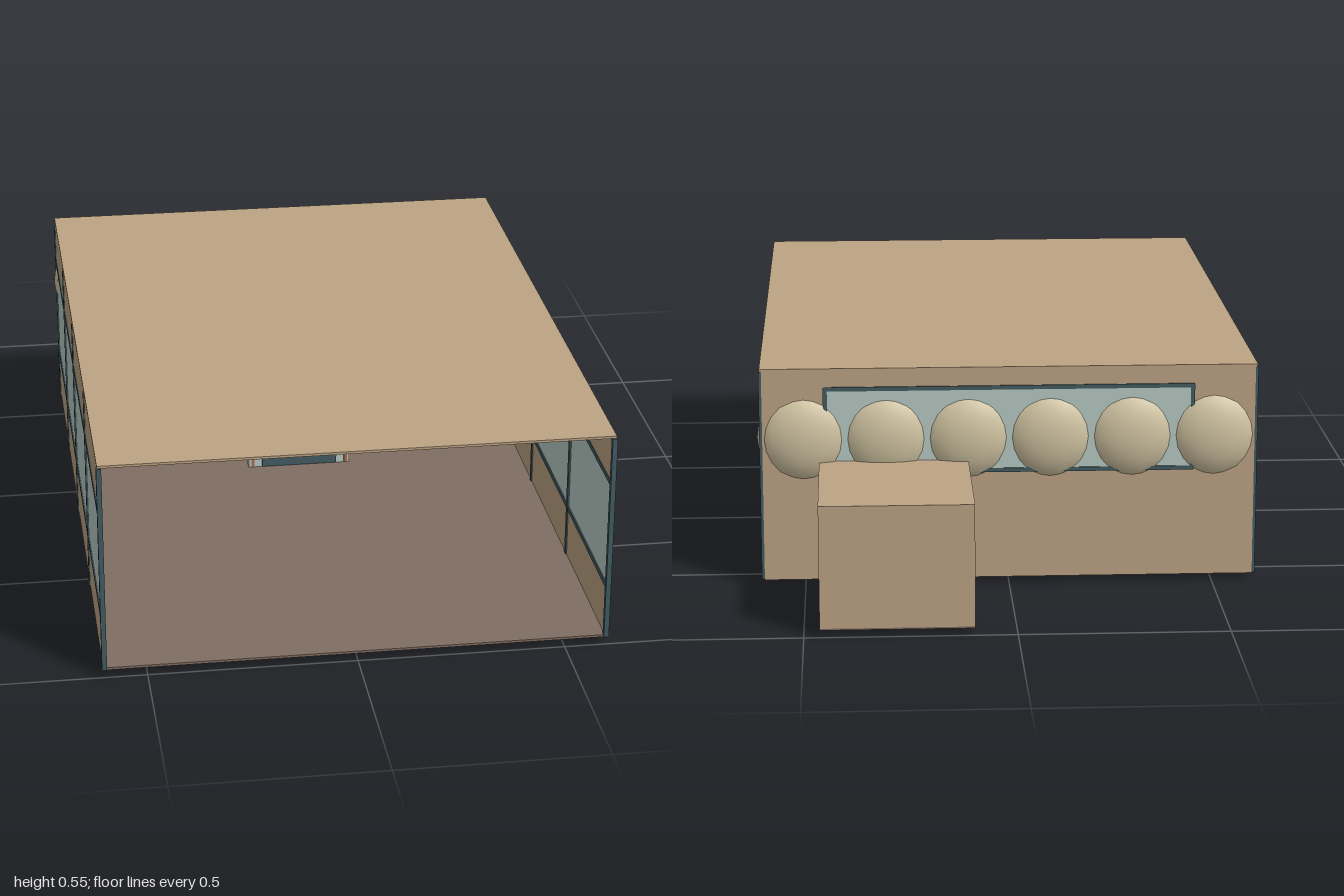
import * as THREE from 'three';

const material = (name, color) => {
  const m = new THREE.MeshStandardMaterial({ color });
  m.name = name;
  return m;
};

export function createModel() {
  const tan = material('tan panel', 0xbda384);
  const brown = material('brown floor', 0x806d62);
  const teal = material('dark teal metal', 0x425c62);
  const glass = material('pale glass', 0xb8cac4);
  const cream = material('cream', 0xd2c5a3);
  const taupe = material('taupe', 0x8a7f69);
  const rust = material('rust', 0xb5694a);

  const model = new THREE.Group();
  const group = (name) => {
    const g = new THREE.Group();
    g.name = name;
    model.add(g);
    return g;
  };
  const add = (parent, name, geometry, mat) => {
    const mesh = new THREE.Mesh(geometry, mat);
    mesh.name = name;
    parent.add(mesh);
    return mesh;
  };
  // Box given by its low and high limits on each axis
  const box = (parent, name, mat, x0, x1, y0, y1, z0, z1) => {
    const mesh = add(parent, name, new THREE.BoxGeometry(x1 - x0, y1 - y0, z1 - z0), mat);
    mesh.position.set((x0 + x1) / 2, (y0 + y1) / 2, (z0 + z1) / 2);
    return mesh;
  };
  // Bent rod with a closed disc at its start and end
  const rod = (parent, name, points, radius, mat, capMat) => {
    const curve = new THREE.CatmullRomCurve3(points.map((p) => new THREE.Vector3(...p)));
    add(parent, name, new THREE.TubeGeometry(curve, 18, radius, 8), mat);
    for (const t of [0, 1]) {
      const cap = add(parent, name + 'End', new THREE.CircleGeometry(radius, 8), capMat);
      const dir = curve.getTangent(t).multiplyScalar(t ? 1 : -1);
      cap.position.copy(curve.getPoint(t));
      cap.quaternion.setFromUnitVectors(new THREE.Vector3(0, 0, 1), dir);
    }
  };

  // Room shell, open at the front
  const shell = group('roomShell');
  box(shell, 'floor', brown, -0.6, 0.6, 0.02, 0.026, -0.6, 0.995);
  box(shell, 'roof', tan, -0.605, 0.605, 0.545, 0.551, -0.603, 0.997);
  box(shell, 'backWall', tan, -0.6, 0.6, 0.02, 0.545, -0.603, -0.597);
  box(shell, 'floorBeam', teal, -0.605, 0.605, 0.003, 0.02, 0.134, 0.146);

  // Side walls: panels, window band, rails and posts
  for (const s of [-1, 1]) {
    const side = group(s > 0 ? 'leftWall' : 'rightWall');
    const strip = (name, mat, half, y0, y1, z0, z1) =>
      box(side, name, mat, s * 0.601 - half, s * 0.601 + half, y0, y1, z0, z1);
    strip('lowerPanel', tan, 0.003, 0.022, 0.155, -0.6, 0.995);
    strip('window', glass, 0.002, 0.155, 0.425, -0.6, 0.995);
    strip('upperPanel', tan, 0.003, 0.425, 0.545, -0.6, 0.995);
    for (const y of [0.155, 0.425]) strip('rail', teal, 0.005, y - 0.006, y + 0.006, -0.6, 0.995);
    for (const z of [0.993, 0.565, 0.14, -0.23, -0.595])
      strip('post', teal, 0.006, 0.022, 0.544, z - 0.007, z + 0.007);
  }

  // Annex behind the back wall
  const annex = group('annex');
  box(annex, 'annexBody', tan, 0.1, 0.463, 0.024, 0.32, -0.998, -0.6);
  box(annex, 'annexFloor', brown, 0.1, 0.463, 0.02, 0.024, -0.998, -0.6);

  // Back window with its frame
  const back = group('backWindow');
  box(back, 'pane', glass, -0.445, 0.445, 0.295, 0.5, -0.6045, -0.5955);
  for (const y of [0.293, 0.5]) box(back, 'frameRail', teal, -0.45, 0.45, y - 0.005, y + 0.005, -0.607, -0.593);
  for (const x of [-0.447, 0.447]) box(back, 'frameSide', teal, x - 0.005, x + 0.005, 0.29, 0.504, -0.607, -0.593);

  // Row of flattened domes along the back wall
  const domes = group('domes');
  for (let i = 0; i < 6; i++) {
    const dome = add(domes, 'dome', new THREE.SphereGeometry(1, 16, 12), cream);
    dome.scale.set(0.113, 0.115, 0.055);
    dome.position.set(-0.5 + i * 0.2, 0.375, -0.575);
  }

  // Curved ribs, mirrored, sweeping down in front of the domes
  const ribs = group('ribs');
  for (const s of [-1, 1]) {
    for (const [a, b, c, d] of [[0.1, 0.148, 0.167, 0.175], [0.26, 0.37, 0.435, 0.46], [0.32, 0.46, 0.53, 0.56]]) {
      rod(ribs, 'rib', [
        [s * a, 0.503, -0.36], [s * b, 0.46, -0.43], [s * c, 0.375, -0.49], [s * d, 0.265, -0.5],
      ], 0.014, taupe, cream);
    }
  }

  // Hanging rust rods and lamp ball
  const rods = group('rustRods');
  for (const x of [-1, 0, 1]) {
    rod(rods, 'hangingRod', [
      [x * 0.305, 0.52, -0.42], [x * 0.36, 0.495, -0.47], [x * 0.383, 0.43, -0.5], [x * 0.38, 0.32, -0.51],
    ], 0.009, rust, rust);
  }
  const lamp = add(rods, 'lampBall', new THREE.SphereGeometry(0.047, 14, 10), rust);
  lamp.position.set(-0.395, 0.312, -0.48);

  // Wall ring
  const ring = add(group('wallRing'), 'ring', new THREE.TorusGeometry(0.045, 0.007, 8, 24), cream);
  ring.position.set(0.443, 0.242, -0.58);

  // Open shelf unit
  const shelf = group('shelfUnit');
  for (const x of [-0.408, -0.152])
    for (const z of [-0.52, -0.4]) box(shelf, 'shelfPost', teal, x - 0.003, x + 0.003, 0.026, 0.294, z - 0.003, z + 0.003);
  for (const y of [0.08, 0.152, 0.225]) box(shelf, 'shelfBoard', tan, -0.405, -0.155, y - 0.004, y + 0.004, -0.52, -0.4);
  box(shelf, 'shelfTop', teal, -0.411, -0.149, 0.29, 0.295, -0.523, -0.397);

  // Tall table with a lower shelf
  const table = group('tallTable');
  for (const x of [0.21, 0.36])
    for (const z of [-0.5, -0.36]) box(table, 'tableLeg', teal, x - 0.006, x + 0.006, 0.022, 0.244, z - 0.006, z + 0.006);
  box(table, 'tableTop', rust, 0.202, 0.368, 0.244, 0.256, -0.51, -0.35);
  box(table, 'tableShelf', tan, 0.216, 0.354, 0.092, 0.099, -0.5, -0.36);

  // Low glass case with a dark centre and rust uprights
  const low = group('lowCase');
  box(low, 'caseBody', glass, -0.136, 0.136, 0.026, 0.084, -0.16, -0.04);
  box(low, 'caseCentre', teal, -0.1, 0.1, 0.028, 0.08, -0.165, -0.035);
  for (const x of [-0.125, 0.125]) box(low, 'upright', rust, x - 0.004, x + 0.004, 0.028, 0.077, -0.163, -0.037);
  for (const x of [-0.09, 0.09]) box(low, 'foot', rust, x - 0.03, x + 0.03, 0.0185, 0.03, -0.103, -0.097);

  return model;
}
